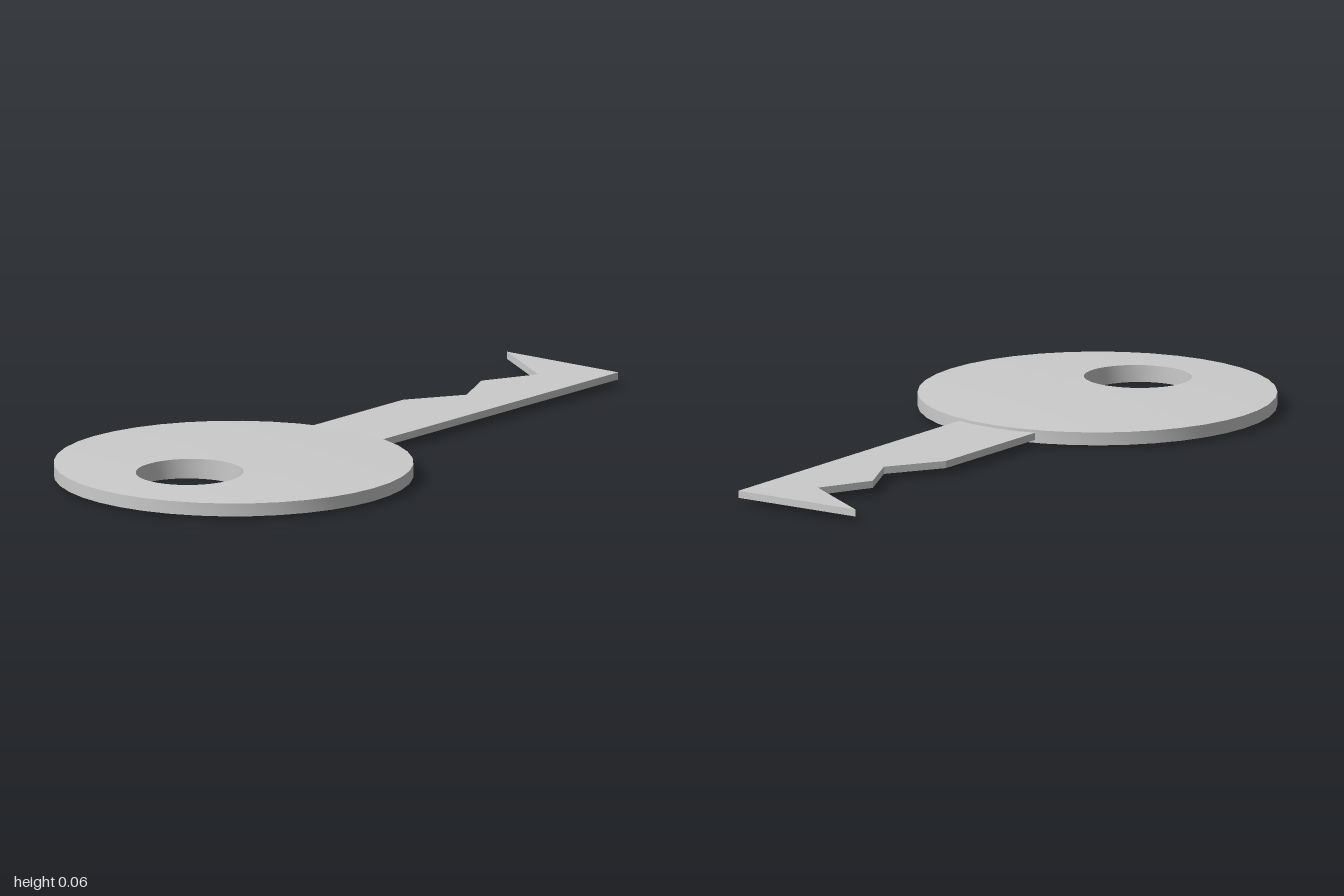
import * as THREE from 'three';
import { toCreasedNormals } from 'three/addons/utils/BufferGeometryUtils.js';

const MID = 0.028; // height of the key's middle plane
const BOW = { x: -0.51, r: 0.49 };
const HOLE = { x: -0.7, r: 0.147 };

// Slightly domed disc with an off-centre hole, lofted from hole rim to outer rim
function bowGeometry(segments = 40, rings = 6) {
  const loop = []; // cross-section: out along the top, back along the underside
  for (let j = 0; j <= rings; j++) loop.push([j / rings, 1]);
  for (let j = rings; j >= 0; j--) loop.push([j / rings, -1]);

  const positions = [];
  const index = [];
  const n = loop.length;
  for (let i = 0; i < segments; i++) {
    const a = (i / segments) * Math.PI * 2;
    loop.forEach(([t, side], j) => {
      const r = THREE.MathUtils.lerp(HOLE.r, BOW.r, t);
      const x = THREE.MathUtils.lerp(HOLE.x, BOW.x, t) + r * Math.cos(a);
      const z = r * Math.sin(a);
      const d = Math.hypot(x - BOW.x, z) / BOW.r;
      positions.push(x, MID + side * (0.028 - 0.01 * d * d), z);

      const i2 = (i + 1) % segments;
      const j2 = (j + 1) % n;
      const p = i * n + j, q = i2 * n + j, s = i * n + j2, u = i2 * n + j2;
      index.push(p, q, s, q, u, s);
    });
  }
  const geometry = new THREE.BufferGeometry();
  geometry.setAttribute('position', new THREE.Float32BufferAttribute(positions, 3));
  geometry.setIndex(index);
  return toCreasedNormals(geometry, Math.PI / 6);
}

// Flat blade with the teeth cut along its back edge
function bladeGeometry() {
  const outline = [
    [-0.54, -0.125], [1, -0.125], [1, 0.265], [0.845, 0.03],
    [0.69, 0.103], [0.535, 0.03], [0.38, 0.127], [-0.54, 0.127],
  ].map(([x, y]) => new THREE.Vector2(x, y));
  const depth = 0.02;
  return new THREE.ExtrudeGeometry(new THREE.Shape(outline), { depth, bevelEnabled: false })
    .rotateX(-Math.PI / 2)
    .translate(0, MID - depth / 2, 0);
}

export function createModel() {
  const group = new THREE.Group();
  group.name = 'key';
  const material = new THREE.MeshStandardMaterial({ color: 0xcccccc });
  const add = (name, geometry) => {
    const mesh = new THREE.Mesh(geometry, material);
    mesh.name = name;
    group.add(mesh);
  };
  add('bow', bowGeometry());
  add('blade', bladeGeometry());
  return group;
}
